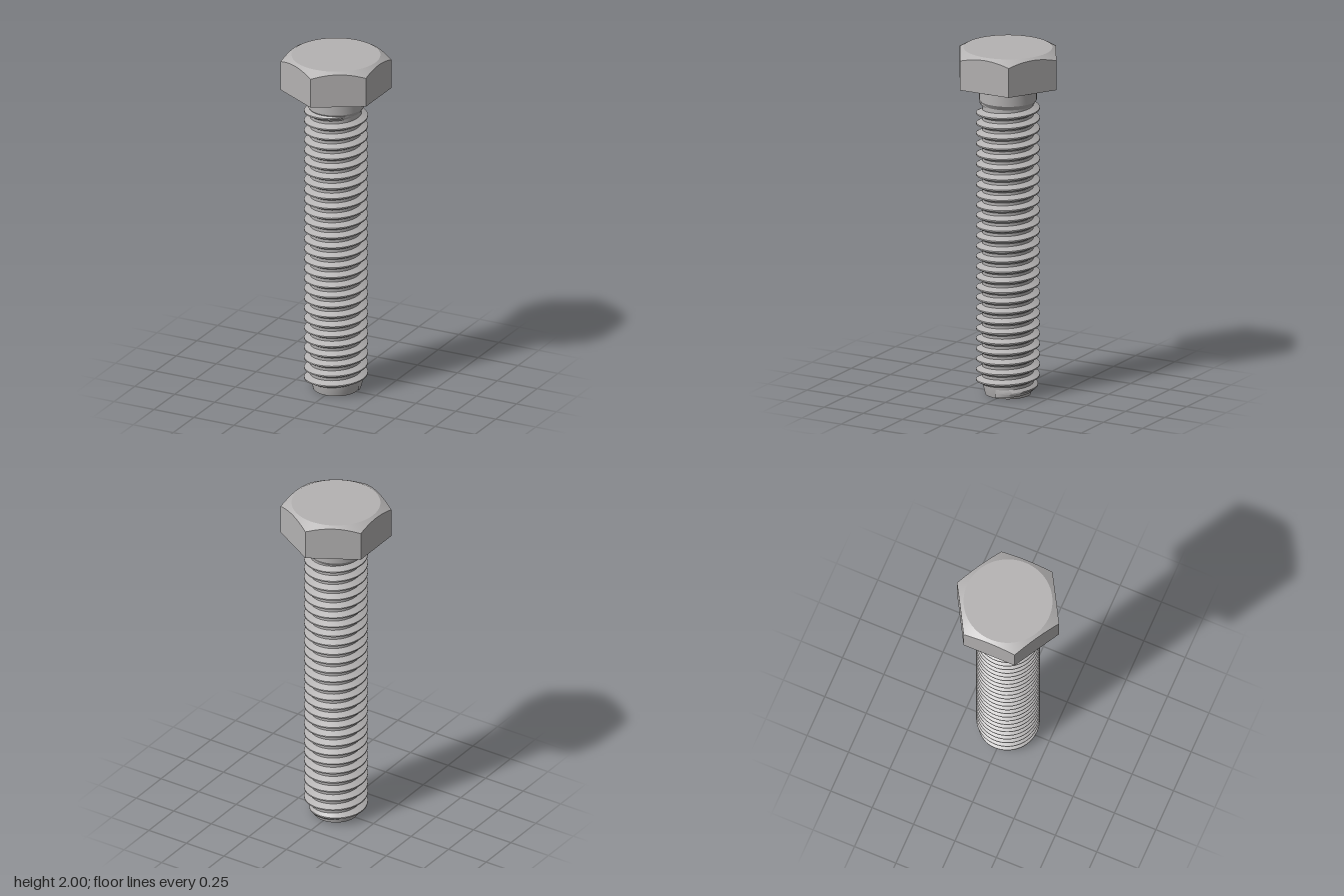
import * as THREE from 'three';
import { toCreasedNormals } from 'three/addons/utils/BufferGeometryUtils.js';

const steel = new THREE.MeshStandardMaterial({ color: 0xb4b2b2 });
steel.name = 'steel';

function part(name, geometry) {
  const mesh = new THREE.Mesh(toCreasedNormals(geometry, 0.4), steel);
  mesh.name = name;
  return mesh;
}

function lathe(points) {
  return new THREE.LatheGeometry(points.map(([r, y]) => new THREE.Vector2(r, y)), 72);
}

// Hexagonal prism whose top corners are cut by a 30 degree cone
function headGeometry() {
  const apothem = 0.267, topRadius = 0.247, rim = 0.3;
  const geo = lathe([[0, 1.795], [rim, 1.795], [rim, 1.97], [topRadius, 2], [0, 2]]);
  const p = geo.attributes.position;
  for (let i = 0; i < p.count; i++) {
    const x = p.getX(i), z = p.getZ(i);
    if (Math.hypot(x, z) < 0.29) continue;
    const a = Math.atan2(z, x);
    const side = Math.round(a / (Math.PI / 3)) * Math.PI / 3;
    const r = apothem / Math.cos(a - side);
    const y = p.getY(i) > 1.9 ? 2 - (r - topRadius) * Math.tan(Math.PI / 6) : 1.795;
    p.setXYZ(i, r * Math.cos(a), y, r * Math.sin(a));
  }
  return geo;
}

// Right-handed helical ridge that fades into the core at both ends
function threadGeometry() {
  const pitch = 0.0593, turns = 28, perTurn = 56, startY = 0.03;
  const base = 0.14, crest = 0.177;
  const section = [[-0.023, 0], [-0.0037, 1], [0.0037, 1], [0.023, 0]];
  const n = section.length, steps = turns * perTurn;
  const positions = [], index = [];
  for (let i = 0; i <= steps; i++) {
    const t = i / perTurn, a = t * Math.PI * 2;
    const fade = Math.min(1, t / 0.45, (turns - t) / 0.35);
    for (const [dy, h] of section) {
      const r = base + (crest - base) * h * fade;
      positions.push(r * Math.cos(a), startY + pitch * t + dy, -r * Math.sin(a));
    }
    if (i === steps) break;
    for (let j = 0; j < n - 1; j++) {
      const k = i * n + j;
      index.push(k, k + n, k + 1, k + 1, k + n, k + n + 1);
    }
  }
  const geo = new THREE.BufferGeometry();
  geo.setAttribute('position', new THREE.Float32BufferAttribute(positions, 3));
  geo.setIndex(index);
  return geo;
}

export function createModel() {
  const bolt = new THREE.Group();
  bolt.name = 'hexBolt';
  bolt.add(part('hexHead', headGeometry()));
  // Thin bearing face under the head
  bolt.add(part('washerFace', lathe([[0, 1.787], [0.245, 1.787], [0.245, 1.797]])));
  // Tapered tip, thread core and plain shank in one profile
  bolt.add(part('shank', lathe([
    [0, 0], [0.127, 0], [0.143, 0.065], [0.143, 1.675], [0.16, 1.7], [0.16, 1.79],
  ])));
  bolt.add(part('thread', threadGeometry()));
  return bolt;
}
